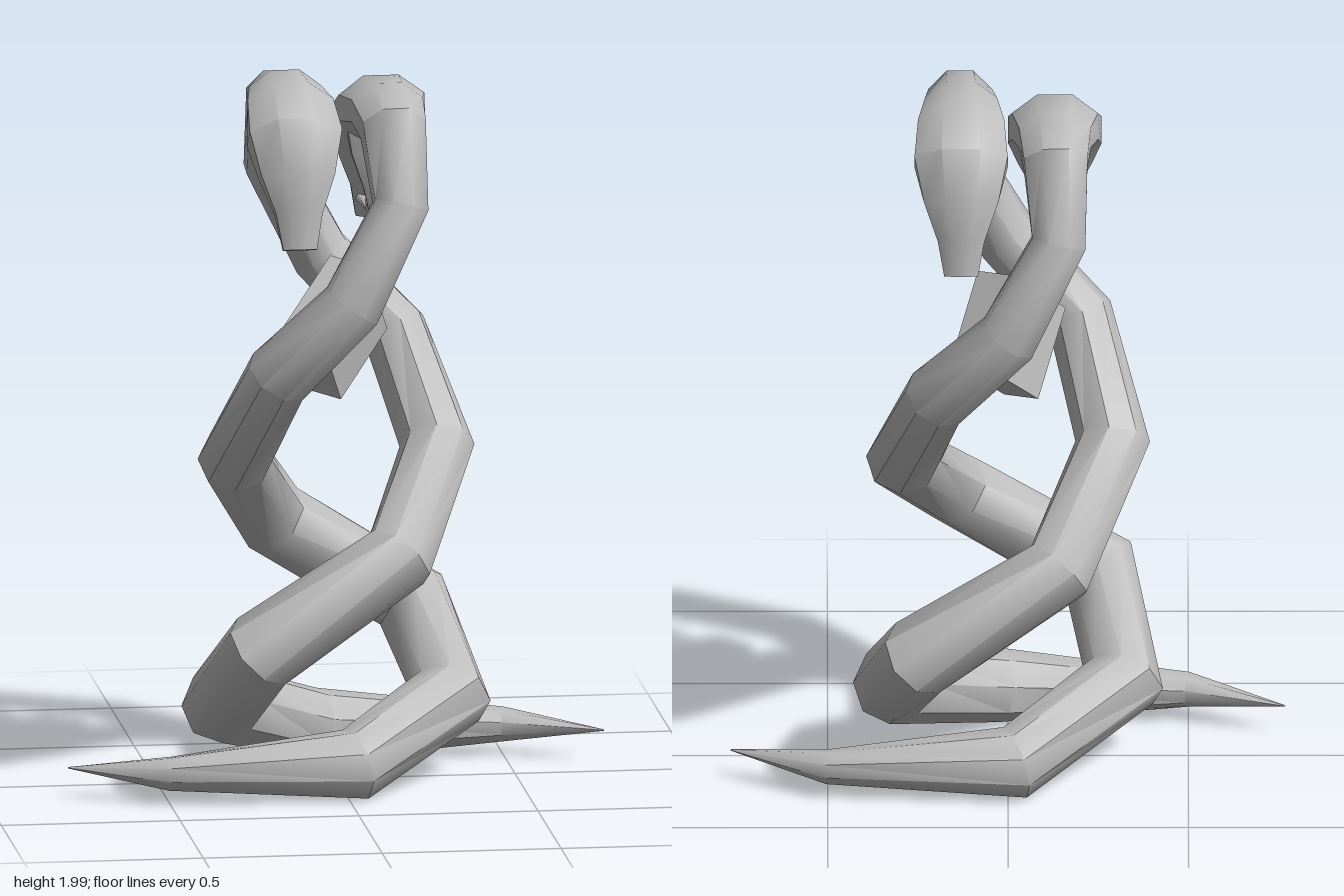
import * as THREE from 'three';
import { toCreasedNormals } from 'three/addons/utils/BufferGeometryUtils.js';

const SIDES = 8;

// Lofts an eight-sided skin through rings of [x, y, z, halfWidth, halfHeight].
// The width axis starts along x and is carried along the path without twist.
function loft(rings) {
  const centres = rings.map(r => new THREE.Vector3(r[0], r[1], r[2]));
  const side = new THREE.Vector3(1, 0, 0);
  const pos = [], index = [];
  const n = rings.length;
  rings.forEach((r, i) => {
    const before = centres[i].clone().sub(centres[Math.max(i - 1, 0)]).normalize();
    const after = centres[Math.min(i + 1, n - 1)].clone().sub(centres[i]).normalize();
    const t = before.add(after).normalize();
    side.addScaledVector(t, -side.dot(t)).normalize();
    const up = t.clone().cross(side);
    for (let j = 0; j < SIDES; j++) {
      const a = (j + 0.5) / SIDES * Math.PI * 2;
      const p = centres[i].clone()
        .addScaledVector(side, Math.cos(a) * r[3] * 1.06)
        .addScaledVector(up, Math.sin(a) * r[4] * 1.06);
      pos.push(p.x, p.y, p.z);
    }
  });
  for (let i = 0; i < n - 1; i++) {
    for (let j = 0; j < SIDES; j++) {
      const k = (j + 1) % SIDES;
      const a = i * SIDES + j, b = i * SIDES + k;
      index.push(a, b, b + SIDES, a, b + SIDES, a + SIDES);
    }
  }
  // end caps
  const last = (n - 1) * SIDES;
  for (let j = 1; j < SIDES - 1; j++) {
    index.push(0, j + 1, j, last, last + j, last + j + 1);
  }
  const geo = new THREE.BufferGeometry();
  geo.setAttribute('position', new THREE.Float32BufferAttribute(pos, 3));
  geo.setIndex(index);
  return toCreasedNormals(geo, 0.8);
}

// From snout, over the arched neck, down the coils to the tail tip
const BODY = [
  [0.13, 1.555, -0.225, 0.048, 0.02],
  [0.13, 1.65, -0.2, 0.066, 0.045],
  [0.13, 1.75, -0.165, 0.105, 0.075],
  [0.13, 1.85, -0.112, 0.132, 0.1],
  [0.13, 1.905, -0.01, 0.122, 0.09],
  [0.13, 1.92, 0.1, 0.102, 0.078],
  [0.132, 1.89, 0.215, 0.09, 0.092],
  [0.14, 1.69, 0.308, 0.077, 0.077],
  [0.0, 1.42, 0.347, 0.083, 0.083],
  [-0.2, 1.21, 0.285, 0.09, 0.09],
  [-0.29, 0.93, 0.06, 0.098, 0.098],
  [-0.14, 0.69, -0.28, 0.1, 0.1],
  [0.25, 0.44, -0.315, 0.108, 0.108],
  [0.32, 0.23, -0.01, 0.108, 0.108],
  [0.02, 0.103, 0.268, 0.097, 0.097],
  [-0.5, 0.09, 0.268, 0.046, 0.046],
  [-0.768, 0.09, 0.152, 0.002, 0.002],
];

// Lower jaw, hanging open
const JAW = [
  [0.13, 1.55, -0.04, 0.022, 0.01],
  [0.13, 1.67, -0.03, 0.05, 0.025],
  [0.13, 1.77, -0.03, 0.085, 0.04],
  [0.13, 1.86, -0.04, 0.1, 0.05],
];

function createSerpent(material) {
  const serpent = new THREE.Group();
  const add = (name, geo) => {
    const mesh = new THREE.Mesh(geo, material);
    mesh.name = name;
    serpent.add(mesh);
    return mesh;
  };
  add('serpentBody', loft(BODY));
  add('lowerJaw', loft(JAW));
  // fangs, pointing from the upper jaw into the mouth
  for (const s of [-1, 1]) {
    const fang = add('fang', new THREE.ConeGeometry(0.018, 0.1, 5));
    fang.position.set(0.13 + s * 0.035, 1.605, -0.14);
    fang.rotation.x = Math.PI / 2 + 0.15;
  }
  return serpent;
}

export function createModel() {
  const model = new THREE.Group();
  model.name = 'entwinedSerpents';
  const stone = new THREE.MeshStandardMaterial({ color: 0xbcbcbc });
  stone.name = 'grey stone';

  // two serpents, half a turn apart
  for (let i = 0; i < 2; i++) {
    const serpent = createSerpent(stone);
    serpent.name = i ? 'secondSerpent' : 'firstSerpent';
    serpent.rotation.y = i * Math.PI;
    model.add(serpent);
  }

  // square block balanced on a corner between the necks
  const block = new THREE.Mesh(new THREE.BoxGeometry(0.27, 0.27, 0.12), stone);
  block.name = 'floatingBlock';
  block.position.set(0.0, 1.283, -0.01);
  block.up.set(0.2, 0.98, 0);
  block.lookAt(0.78, 1.133, 0.59);
  block.rotateZ(Math.PI / 4);
  model.add(block);
  return model;
}
